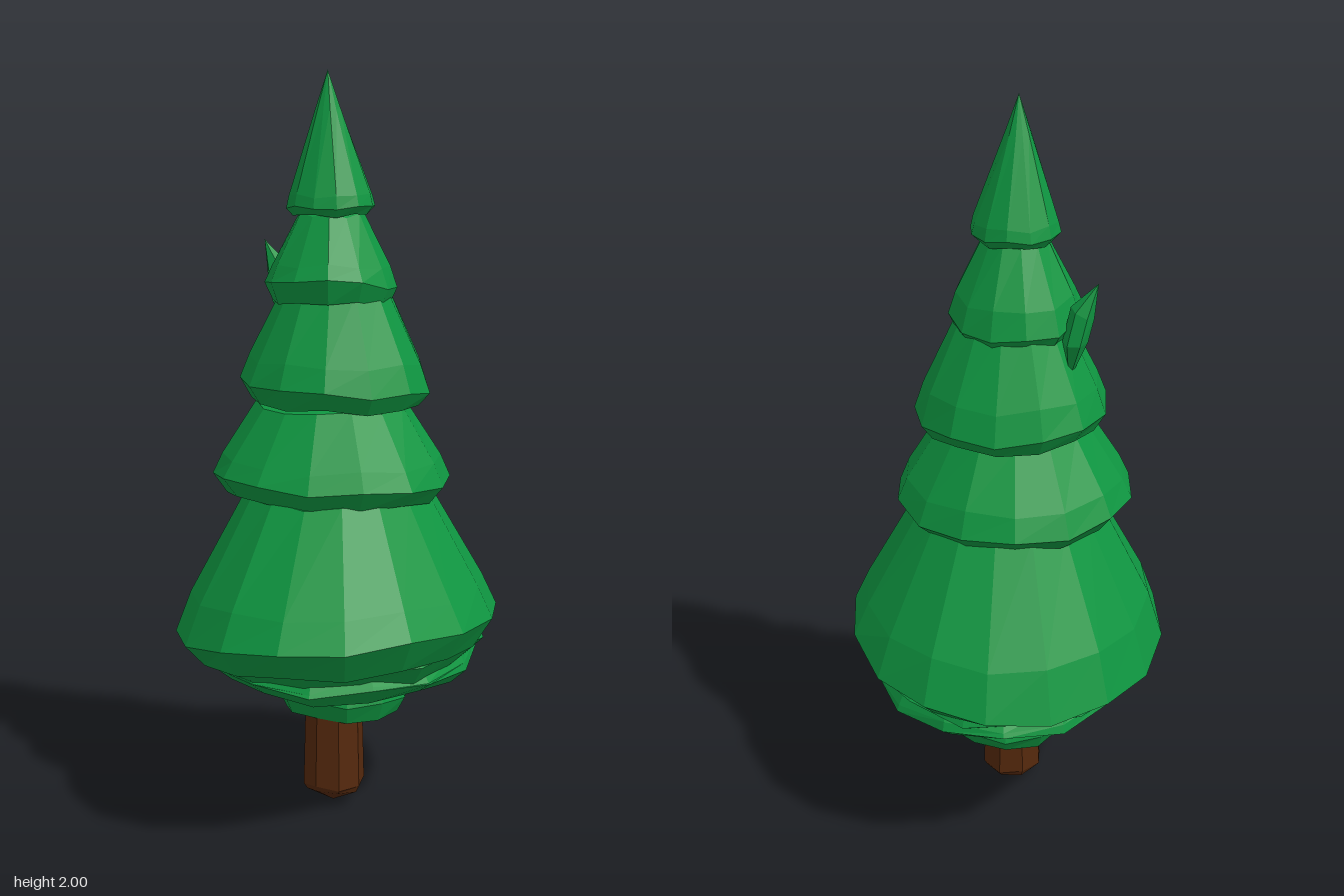
import * as THREE from 'three';

const green = new THREE.MeshStandardMaterial({ color: 0x0f9641 });
green.name = 'needle green';
const brown = new THREE.MeshStandardMaterial({ color: 0x55290d });
brown.name = 'bark brown';

// Faceted loft through rings listed from top to bottom.
// Ring: [y, centreX, centreZ, radiusX, radiusZ, tiltX, tiltZ]; zero radius makes a point.
function loft(name, material, sides, rings, jitter = 0, seed = 0) {
  const points = rings.map(([y, cx, cz, rx, rz, tx = 0, tz = 0], k) =>
    Array.from({ length: sides }, (_, j) => {
      const a = ((j + seed * 0.37) / sides) * Math.PI * 2;
      const c = Math.cos(a), s = Math.sin(a);
      const wobble = rx ? jitter * Math.sin(j * 2.4 + k * 0.8 + seed * 1.7) : 0;
      return [cx + rx * c, y + tx * c + tz * s + wobble, cz + rz * s];
    }));
  const pos = [];
  for (let k = 0; k < rings.length - 1; k++) {
    const up = points[k], low = points[k + 1];
    for (let j = 0; j < sides; j++) {
      const n = (j + 1) % sides;
      if (rings[k + 1][3]) pos.push(...low[j], ...up[j], ...low[n]);
      if (rings[k][3]) pos.push(...up[j], ...up[n], ...low[n]);
    }
  }
  const geometry = new THREE.BufferGeometry();
  geometry.setAttribute('position', new THREE.Float32BufferAttribute(pos, 3));
  geometry.computeVertexNormals(); // unshared corners give flat facets
  const mesh = new THREE.Mesh(geometry, material);
  mesh.name = name;
  return mesh;
}

// Bell-shaped tier: a narrow top flares over a shoulder to a tilted rim, then tucks under.
function tier(name, sides, { top, rim, x = 0, z = 0, rx, rz = rx, neck, tiltX = 0, tiltZ = 0, drop = 0.045, jitter = 0.007 }) {
  const ring = (y, scale, tilt) => [y, x, z, rx * scale, rz * scale, tiltX * tilt, tiltZ * tilt];
  return loft(name, green, sides, [
    ring(top + 0.05, 0, 0),
    ring(top, neck, 0),
    ring(THREE.MathUtils.lerp(top, rim, 0.72), THREE.MathUtils.lerp(neck, 1, 0.78), 0.4),
    ring(rim, 1, 1),
    ring(rim - drop, 0.88, 0.5),
    ring(rim - 0.01, 0, 0),
  ], jitter, sides);
}

export function createModel() {
  const tree = new THREE.Group();
  tree.name = 'firTree';

  // Trunk with a blunt pointed foot
  tree.add(loft('trunk', brown, 8, [
    [0.45, -0.012, 0, 0, 0],
    [0.45, -0.012, 0, 0.075, 0.075],
    [0.06, -0.012, 0, 0.085, 0.085],
    [0.045, -0.012, 0, 0.075, 0.075],
    [0, -0.016, -0.005, 0, 0],
  ], 0.006, 1));

  // Small skirt and ragged frills beneath the crown
  tree.add(
    tier('lowerSkirt', 11, { top: 0.42, rim: 0.295, x: -0.012, z: -0.08, rx: 0.183, neck: 0.8, tiltZ: 0.015 }),
    tier('lowerFrill', 14, { top: 0.47, rim: 0.425, z: -0.035, rx: 0.365, rz: 0.42, neck: 0.93, tiltZ: 0.012, drop: 0.035, jitter: 0.011 }),
    tier('upperFrill', 15, { top: 0.53, rim: 0.475, x: 0.005, z: -0.025, rx: 0.385, rz: 0.435, neck: 0.9, tiltX: 0.02, tiltZ: 0.02, jitter: 0.013 }),
  );

  // Main tiers, the widest deeper than it is wide
  tree.add(
    tier('baseTier', 16, { top: 0.9, rim: 0.53, rx: 0.43, rz: 0.503, neck: 0.57, tiltX: 0.038, tiltZ: 0.04, drop: 0.06 }),
    tier('fourthTier', 14, { top: 1.13, rim: 0.93, x: -0.018, rx: 0.32, neck: 0.63, tiltX: -0.005, tiltZ: 0.016 }),
    tier('thirdTier', 13, { top: 1.43, rim: 1.175, x: -0.01, z: -0.01, rx: 0.257, rz: 0.25, neck: 0.56, tiltX: -0.01, tiltZ: 0.014 }),
    tier('secondTier', 12, { top: 1.63, rim: 1.44, x: -0.02, rx: 0.176, neck: 0.5, tiltZ: 0.032 }),
  );

  // Pointed top
  tree.add(loft('topTier', green, 12, [
    [2, -0.027, 0.003, 0, 0],
    [1.9, -0.026, 0.002, 0.034, 0.034],
    [1.68, -0.02, 0, 0.111, 0.111],
    [1.65, -0.02, 0, 0.118, 0.117],
    [1.63, -0.02, 0, 0.1, 0.1],
    [1.65, -0.02, 0, 0, 0],
  ], 0.005, 3));

  // Stray sprig on the right rear side
  tree.add(loft('sprig', green, 6, [
    [1.55, -0.243, -0.093, 0, 0],
    [1.47, -0.203, -0.09, 0.03, 0.035, 0.015],
    [1.39, -0.185, -0.085, 0.033, 0.05],
    [1.28, -0.17, -0.085, 0, 0],
  ]));

  return tree;
}
